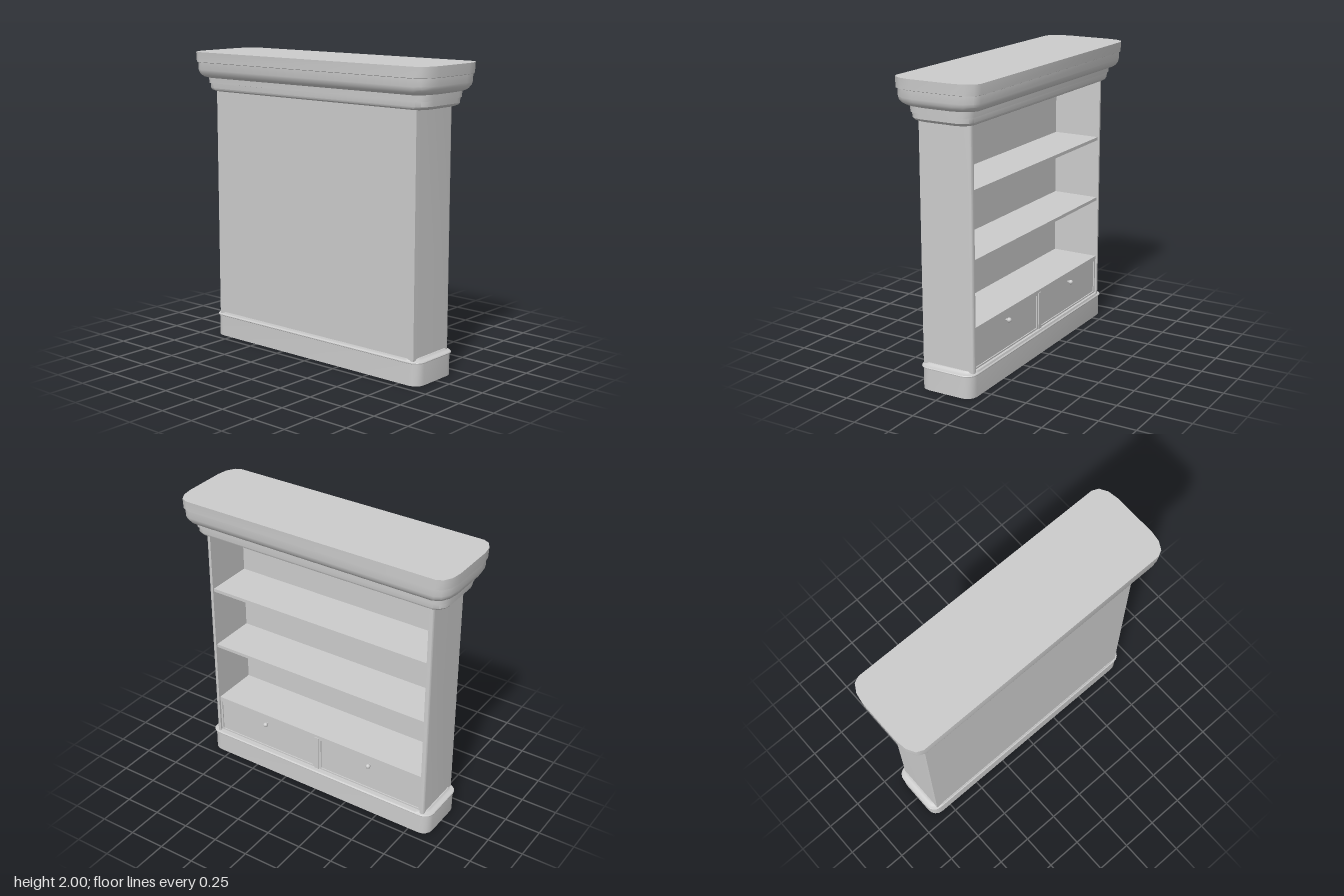
import * as THREE from 'three';
import { toCreasedNormals } from 'three/addons/utils/BufferGeometryUtils.js';

const material = new THREE.MeshStandardMaterial({ color: 0xcccccc });

function add(parent, name, geometry, x = 0, y = 0, z = 0) {
  const mesh = new THREE.Mesh(geometry, material);
  mesh.name = name;
  mesh.position.set(x, y, z);
  parent.add(mesh);
  return mesh;
}

const box = (parent, name, x0, x1, y0, y1, z0, z1) =>
  add(parent, name, new THREE.BoxGeometry(x1 - x0, y1 - y0, z1 - z0),
    (x0 + x1) / 2, (y0 + y1) / 2, (z0 + z1) / 2);

// Stacked rounded rectangles, rows of [y, half width, half depth], closed at both ends
function moulding(rows, rx, rz, segments = 3) {
  const positions = [], index = [];
  const n = 4 * (segments + 1);
  for (const [y, hx, hz] of rows) {
    for (let q = 0; q < 4; q++) {
      const sx = q === 0 || q === 3 ? 1 : -1, sz = q < 2 ? 1 : -1;
      for (let i = 0; i <= segments; i++) {
        const a = (q + i / segments) * Math.PI / 2;
        positions.push(sx * (hx - rx) + rx * Math.cos(a), y, sz * (hz - rz) + rz * Math.sin(a));
      }
    }
  }
  for (let r = 0; r < rows.length - 1; r++) {
    for (let i = 0; i < n; i++) {
      const a = r * n + i, b = r * n + (i + 1) % n;
      index.push(a, a + n, b, b, a + n, b + n);
    }
  }
  const top = (rows.length - 1) * n;
  for (let i = 1; i < n - 1; i++) {
    index.push(0, i, i + 1, top, top + i + 1, top + i);
  }
  const geometry = new THREE.BufferGeometry();
  geometry.setAttribute('position', new THREE.Float32BufferAttribute(positions, 3));
  geometry.setIndex(index);
  return toCreasedNormals(geometry, 0.62);
}

// Upright side board, its outer edge rounded on the open side
function sideBoard(side) {
  const inner = side * 0.825, outer = side * 0.855, r = 0.02;
  const shape = new THREE.Shape();
  shape.moveTo(inner, 0.185);
  shape.lineTo(outer, 0.185);
  shape.lineTo(outer, -0.185 + r);
  shape.quadraticCurveTo(outer, -0.185, outer - side * r, -0.185);
  shape.lineTo(inner, -0.185);
  shape.closePath();
  const geometry = new THREE.ExtrudeGeometry(shape, { depth: 1.62, bevelEnabled: false, curveSegments: 5 });
  geometry.rotateX(Math.PI / 2);
  return toCreasedNormals(geometry, 0.6);
}

export function createModel() {
  const model = new THREE.Group();
  model.name = 'bookcase';

  // Plinth with a rounded bead and a small cove above it
  add(model, 'plinth', moulding([[0, 0.895, 0.193], [0.145, 0.895, 0.193]], 0.07, 0.07, 4));
  add(model, 'plinthMoulding', moulding([
    [0.143, 0.895, 0.193], [0.146, 0.903, 0.198], [0.152, 0.904, 0.199], [0.157, 0.9, 0.196],
    [0.159, 0.875, 0.192], [0.165, 0.867, 0.19], [0.172, 0.862, 0.188],
  ], 0.07, 0.07, 4));

  // Cornice in two tiers
  add(model, 'corniceLower', moulding([
    [1.728, 0.885, 0.175], [1.732, 0.905, 0.193], [1.74, 0.922, 0.206], [1.752, 0.932, 0.211],
    [1.785, 0.934, 0.212], [1.786, 0.94, 0.219], [1.83, 0.942, 0.221],
  ], 0.07, 0.09));
  add(model, 'corniceUpper', moulding([
    [1.825, 0.945, 0.24], [1.831, 0.96, 0.256], [1.842, 0.974, 0.27], [1.86, 0.985, 0.281],
    [1.88, 0.989, 0.286], [1.929, 0.99, 0.287], [1.932, 0.997, 0.294], [2, 1, 0.296],
  ], 0.085, 0.145));

  // Carcass
  for (const side of [1, -1]) {
    add(model, side > 0 ? 'leftSide' : 'rightSide', sideBoard(side), 0, 1.74, 0);
  }
  box(model, 'rearPanel', -0.83, 0.83, 0.15, 1.74, 0.16, 0.185);

  // Shelves, the lowest one covering the drawers
  for (const y of [0.45, 0.89, 1.33]) {
    box(model, 'shelf', -0.826, 0.826, y - 0.022, y, -0.174, 0.162);
  }

  // Drawers with a thin raised rim and a round knob
  box(model, 'drawerDivider', -0.018, 0.018, 0.16, 0.43, -0.178, 0.16);
  for (const side of [1, -1]) {
    const drawer = new THREE.Group();
    drawer.name = side > 0 ? 'leftDrawer' : 'rightDrawer';
    drawer.position.x = side * 0.4215;
    model.add(drawer);
    const w = 0.4035, t = 0.014;
    box(drawer, 'drawerFront', -w, w, 0.16, 0.43, -0.163, -0.14);
    for (const [y0, y1] of [[0.165, 0.182], [0.414, 0.428]]) {
      box(drawer, 'drawerRail', -w, w, y0, y1, -0.171, -0.16);
    }
    for (const s of [1, -1]) {
      box(drawer, 'drawerStile', s * (w - t / 2) - t / 2, s * (w - t / 2) + t / 2, 0.182, 0.414, -0.171, -0.16);
    }
    const stem = new THREE.CylinderGeometry(0.007, 0.007, 0.03, 12).rotateX(Math.PI / 2);
    add(drawer, 'knobStem', stem, 0, 0.375, -0.172);
    add(drawer, 'knob', new THREE.SphereGeometry(0.016, 16, 12), 0, 0.375, -0.186);
  }
  return model;
}
